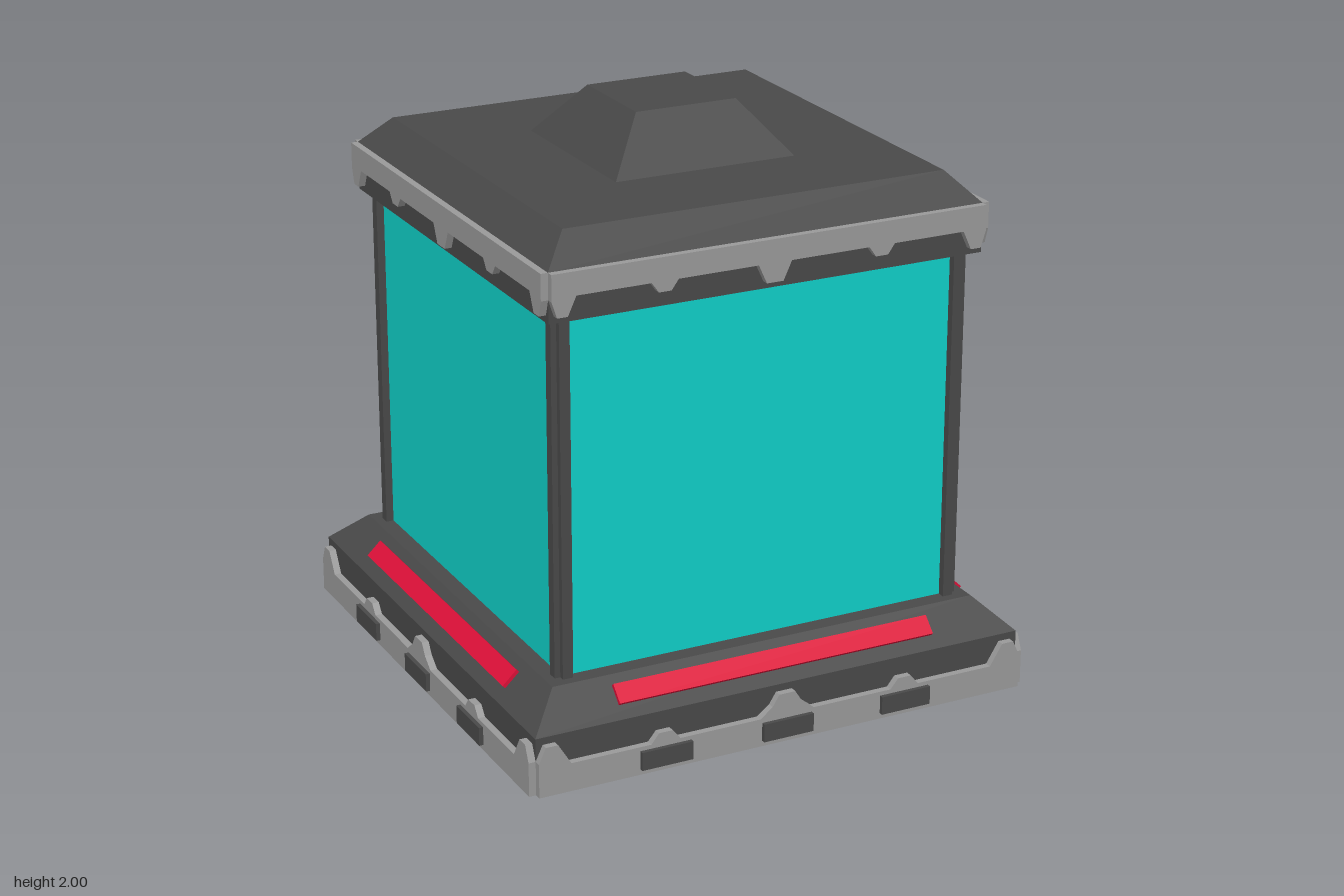
import * as THREE from 'three';

const mat = (color) => new THREE.MeshStandardMaterial({ color, flatShading: true });
const dark = mat(0x494949);
const trimGrey = mat(0x999999);
const teal = mat(0x10d0c8);
const red = mat(0xdc1038);

function addMesh(parent, name, geometry, material) {
  const mesh = new THREE.Mesh(geometry, material);
  mesh.name = name;
  parent.add(mesh);
  return mesh;
}

// Square block tapering from half-width a at y0 to half-width b at y1
function taper(parent, name, a, y0, b, y1) {
  const g = new THREE.CylinderGeometry(b * Math.SQRT2, a * Math.SQRT2, y1 - y0, 4, 1);
  g.rotateY(Math.PI / 4).translate(0, (y0 + y1) / 2, 0);
  return addMesh(parent, name, g, dark);
}

// Extruded outline, given as the right half and mirrored across x
function mirroredPlate(half, depth) {
  const left = half.slice().reverse().map(([x, y]) => [-x, y]);
  const shape = new THREE.Shape([...half, ...left].map(([x, y]) => new THREE.Vector2(x, y)));
  return new THREE.ExtrudeGeometry(shape, { depth, bevelEnabled: false });
}

export function createModel() {
  const model = new THREE.Group();
  model.name = 'lantern';

  // Base, roof and cap
  taper(model, 'baseBlock', 0.905, 0, 0.905, 0.2);
  taper(model, 'baseSlope', 0.905, 0.2, 0.79, 0.31);
  taper(model, 'roofBlock', 0.785, 1.55, 0.785, 1.72);
  taper(model, 'roofSlope', 0.785, 1.72, 0.69, 1.82);
  taper(model, 'roofCap', 0.33, 1.82, 0.185, 2);

  // Glass body
  const glass = new THREE.BoxGeometry(1.46, 1.24, 1.46).translate(0, 0.93, 0);
  addMesh(model, 'glass', glass, teal);

  // Corner posts with a notched outer edge
  const section = [[0.7, 0.7], [0.757, 0.7], [0.757, 0.737], [0.737, 0.737], [0.737, 0.757], [0.7, 0.757]];
  const postShape = new THREE.Shape(section.map(([x, y]) => new THREE.Vector2(x, y)));
  const postGeo = new THREE.ExtrudeGeometry(postShape, { depth: 1.24, bevelEnabled: false });
  postGeo.rotateX(-Math.PI / 2).translate(0, 0.31, 0);

  // Scalloped trim outlines, right halves
  const lowerTrim = mirroredPlate([
    [0.905, 0], [0.905, 0.12], [0.88, 0.175], [0.836, 0.175], [0.79, 0.1],
    [0.503, 0.1], [0.475, 0.135], [0.425, 0.135], [0.397, 0.1],
    [0.1, 0.1], [0.055, 0.135], [0.03, 0.175],
  ], 0.025).translate(0, 0, 0.905);
  const upperTrim = mirroredPlate([
    [0.03, 1.575], [0.06, 1.64], [0.345, 1.64], [0.37, 1.605], [0.415, 1.605], [0.44, 1.64],
    [0.7, 1.64], [0.73, 1.575], [0.767, 1.575], [0.785, 1.63], [0.785, 1.72],
  ], 0.025).translate(0, 0, 0.785);
  const block = new THREE.BoxGeometry(0.187, 0.065, 0.04);
  const bar = new THREE.BoxGeometry(1.18, 0.07, 0.03);

  // The four matching sides
  ['front', 'left', 'back', 'right'].forEach((sideName, i) => {
    const side = new THREE.Group();
    side.name = sideName + 'Side';
    side.rotation.y = i * Math.PI / 2;
    model.add(side);
    addMesh(side, 'cornerPost', postGeo, dark);
    addMesh(side, 'lowerTrim', lowerTrim, trimGrey);
    addMesh(side, 'upperTrim', upperTrim, trimGrey);
    for (const x of [-0.45, 0, 0.45]) {
      addMesh(side, 'trimBlock', block, dark).position.set(x, 0.053, 0.925);
    }
    // Red light strip lying on the base slope
    const strip = addMesh(side, 'lightStrip', bar, red);
    strip.position.set(0, 0.258, 0.842);
    strip.rotation.x = -Math.atan2(0.115, 0.11);
  });

  return model;
}
